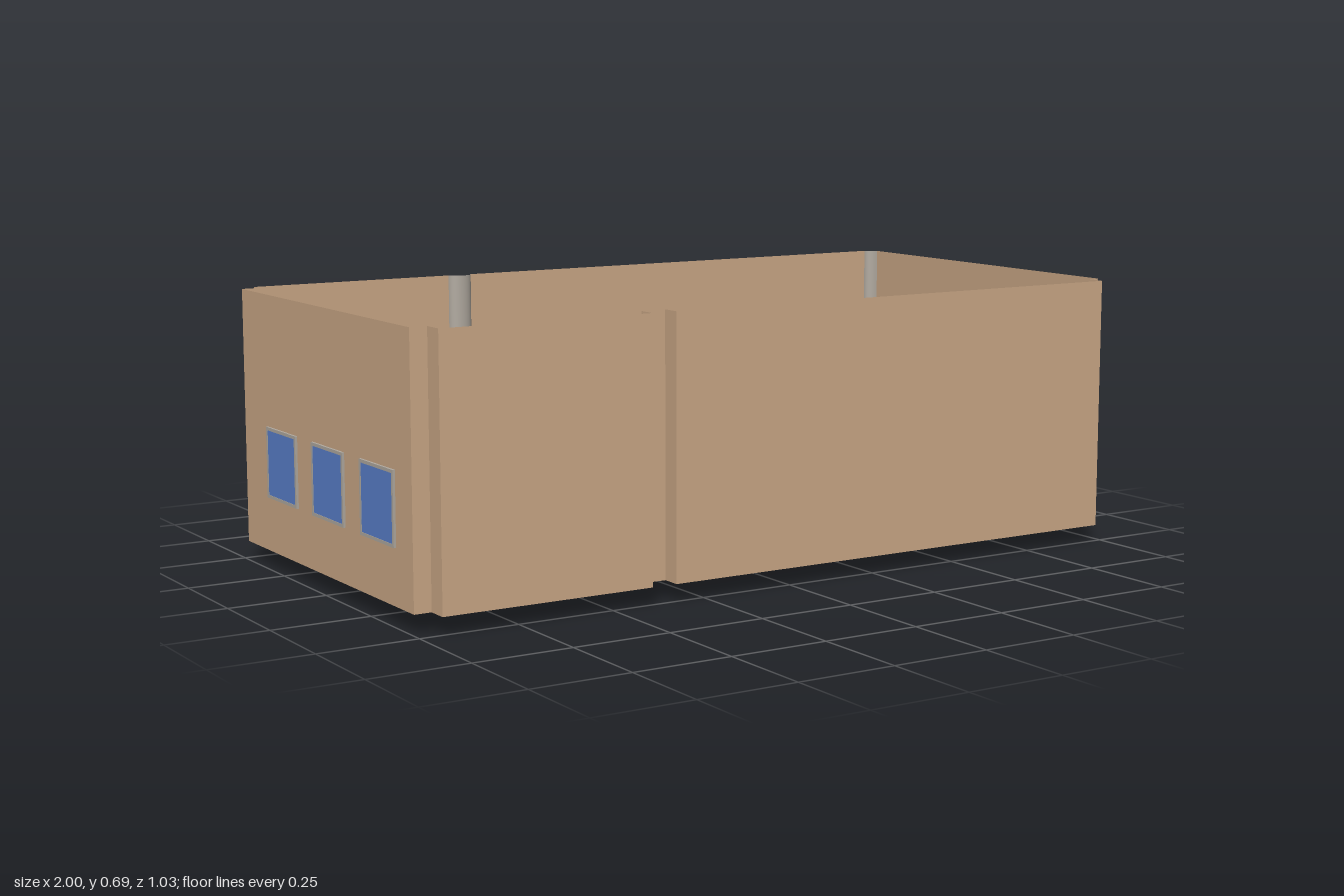
import * as THREE from 'three';

const FLOOR = 0.046, TOP = 0.692;
const LEFT = -0.994, RIGHT = 1, BACK = -0.516, FRONT = 0.516;

const wallMat = new THREE.MeshStandardMaterial({ color: 0xcca987, side: THREE.DoubleSide });
wallMat.name = 'tan wall';
const greyMat = new THREE.MeshStandardMaterial({ color: 0xb1aaa0, side: THREE.DoubleSide });
greyMat.name = 'warm grey';
const glassMat = new THREE.MeshStandardMaterial({ color: 0x5a80cc });
glassMat.name = 'blue glass';

// Upright sheet that follows [x, z] points
function sheet(points, y0, y1, smooth) {
  const pos = [], index = [];
  points.forEach(([x, z], i) => {
    pos.push(x, y0, z, x, y1, z);
    if (i > 0) {
      const a = 2 * i - 2;
      index.push(a, a + 2, a + 1, a + 1, a + 2, a + 3);
    }
  });
  let g = new THREE.BufferGeometry();
  g.setAttribute('position', new THREE.Float32BufferAttribute(pos, 3));
  g.setIndex(index);
  if (!smooth) g = g.toNonIndexed();
  g.computeVertexNormals();
  return g;
}

// Hollow round column, as [x, z] points of an arc bulging into the room
function arc(cx, r, depth, from, to, n) {
  return Array.from({ length: n + 1 }, (_, i) => {
    const a = from + (to - from) * i / n;
    return [cx + r * Math.cos(a), BACK + depth * Math.sin(a)];
  });
}

function rect(path, x0, y0, x1, y1) {
  path.moveTo(x0, y0);
  path.lineTo(x1, y0);
  path.lineTo(x1, y1);
  path.lineTo(x0, y1);
  path.closePath();
  return path;
}

export function createModel() {
  const model = new THREE.Group();
  const add = (name, geometry, material, parent = model) => {
    const mesh = new THREE.Mesh(geometry, material);
    mesh.name = name;
    parent.add(mesh);
    return mesh;
  };

  const midArc = arc(-0.367, 0.032, 0.022, Math.PI, 0, 12);
  const cornerArc = arc(RIGHT, 0.03, 0.022, Math.PI, Math.PI / 2, 8);

  // Wall runs with their corner notches
  const backLeftRun = [[LEFT, -0.487], [-0.95, -0.487], [-0.95, BACK], midArc[0]];
  const backRightRun = [midArc[midArc.length - 1], cornerArc[0]];
  const frontRun = [
    [RIGHT, 0.466], [0.97, 0.466], [0.97, FRONT], [-0.335, FRONT], [-0.335, 0.466],
    [-0.4, 0.466], [-0.4, FRONT], [-0.95, FRONT], [-0.95, 0.462], [LEFT, 0.462],
  ];
  add('backWallShort', sheet(backLeftRun, FLOOR, TOP), wallMat);
  add('backWallLong', sheet(backRightRun, FLOOR, TOP), wallMat);
  add('frontWall', sheet(frontRun, FLOOR, TOP), wallMat);

  // Columns reach below the floor
  add('backColumn', sheet(midArc, 0, TOP, true), greyMat);
  add('cornerColumn', sheet(cornerArc, 0, TOP, true), greyMat);

  // Floor follows the whole outline
  const outline = [...backLeftRun, ...midArc.slice(1), ...backRightRun.slice(1), ...cornerArc.slice(1), ...frontRun];
  const floorShape = new THREE.Shape(outline.map(([x, z]) => new THREE.Vector2(x, z)));
  add('floor', new THREE.ShapeGeometry(floorShape).rotateX(Math.PI / 2).translate(0, FLOOR, 0), greyMat);

  // Door wall: the opening runs down to the floor
  const doorWall = new THREE.Shape([
    [-0.494, FLOOR], [0.252, FLOOR], [0.252, 0.424], [0.443, 0.424],
    [0.443, FLOOR], [0.466, FLOOR], [0.466, TOP], [-0.494, TOP],
  ].map(([z, y]) => new THREE.Vector2(z, y)));
  add('doorWall', new THREE.ShapeGeometry(doorWall).rotateY(-Math.PI / 2).translate(RIGHT, 0, 0), wallMat);

  // Window wall with three openings
  const centres = [-0.253, 0.018, 0.288], y0 = 0.183, y1 = 0.362, half = 0.089, rim = 0.008;
  const windowWall = rect(new THREE.Shape(), -0.487, FLOOR, 0.462, TOP);
  for (const c of centres) {
    windowWall.holes.push(rect(new THREE.Path(), c - half + rim, y0 + rim, c + half - rim, y1 - rim));
  }
  add('windowWall', new THREE.ShapeGeometry(windowWall).rotateY(-Math.PI / 2).translate(LEFT, 0, 0), wallMat);

  // Windows: thin frame outside the wall with a glass pane
  for (const c of centres) {
    const window = new THREE.Group();
    window.name = 'window';
    const frame = rect(new THREE.Shape(), c - half, y0, c + half, y1);
    frame.holes.push(rect(new THREE.Path(), c - half + rim, y0 + rim, c + half - rim, y1 - rim));
    const frameGeo = new THREE.ExtrudeGeometry(frame, { depth: 0.006, bevelEnabled: false });
    add('windowFrame', frameGeo.rotateY(-Math.PI / 2).translate(LEFT, 0, 0), greyMat, window);
    const pane = new THREE.BoxGeometry(0.004, y1 - y0 - 2 * rim, 2 * (half - rim));
    add('windowPane', pane.translate(-0.997, (y0 + y1) / 2, c), glassMat, window);
    model.add(window);
  }
  return model;
}
